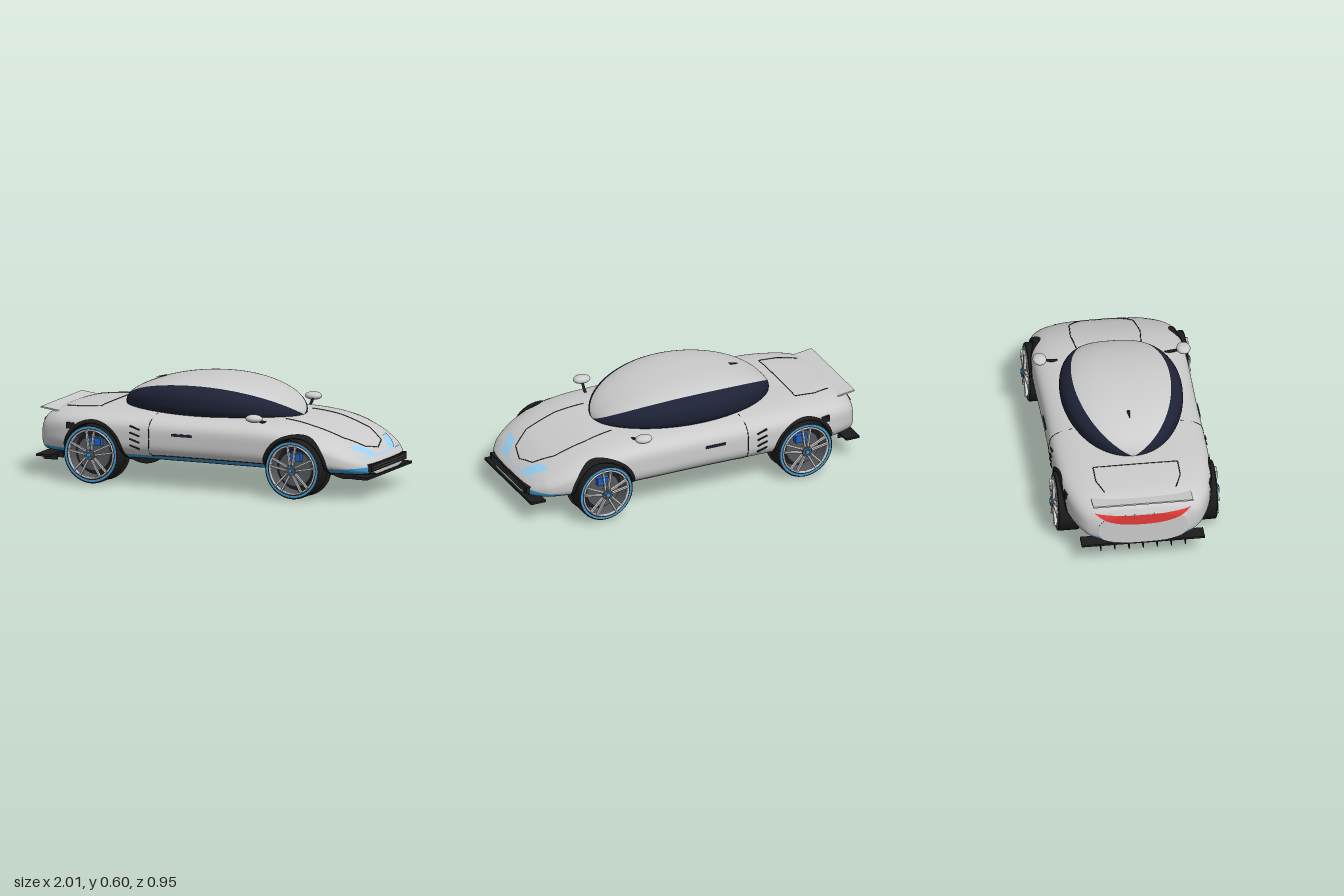
import * as THREE from 'three';

const mat = (color) => new THREE.MeshStandardMaterial({ color, side: THREE.DoubleSide });
const grey = mat(0xcccccc), black = mat(0x1c1c1c), glass = mat(0x1e2236), blue = mat(0x3f9bd3);
const lamp = mat(0x9bd2f5), red = mat(0xe23a36), steel = mat(0x55585c), deepBlue = mat(0x1f5fc0);

// Smooth interpolation through [x, value] stations
function along(table) {
  const slope = (i) => {
    const a = table[Math.max(i - 1, 0)], b = table[Math.min(i + 1, table.length - 1)];
    return (b[1] - a[1]) / (b[0] - a[0]);
  };
  return (x) => {
    let i = 0;
    while (i < table.length - 2 && x > table[i + 1][0]) i++;
    const [x0, a] = table[i], [x1, b] = table[i + 1], h = x1 - x0;
    const t = THREE.MathUtils.clamp((x - x0) / h, 0, 1), t2 = t * t, t3 = t2 * t;
    return (2 * t3 - 3 * t2 + 1) * a + (t3 - 2 * t2 + t) * h * slope(i) + (3 * t2 - 2 * t3) * b + (t3 - t2) * h * slope(i + 1);
  };
}
const FLOOR = 0.12, TAIL = -1, NOSE = 0.99;
const widthAt = along([[-1, 0.25], [-0.97, 0.315], [-0.9, 0.365], [-0.8, 0.4], [-0.6, 0.43], [0, 0.43], [0.5, 0.43],
  [0.7, 0.415], [0.8, 0.395], [0.9, 0.345], [0.95, 0.29], [0.98, 0.235], [0.99, 0.19]]);
const topAt = along([[-1, 0.31], [-0.98, 0.345], [-0.93, 0.372], [-0.85, 0.39], [-0.6, 0.405], [0, 0.41], [0.4, 0.405],
  [0.6, 0.382], [0.8, 0.32], [0.9, 0.268], [0.95, 0.23], [0.98, 0.2], [0.99, 0.185]]);
const roundAt = along([[-1, 3], [-0.7, 4], [0, 4], [0.65, 4.2], [0.85, 3], [0.99, 2.6]]);
const midAt = (x) => (topAt(x) + FLOOR) / 2;

// Half width of the body at a height, and height of the body at a side offset
function halfWidth(x, y) {
  const m = midAt(x), s = Math.min(Math.abs(y - m) / (m - FLOOR), 1), n = y > m ? roundAt(x) : 3;
  return widthAt(x) * Math.pow(1 - Math.pow(s, n), 1 / n);
}
function heightAt(x, z) {
  const n = roundAt(x), m = midAt(x);
  return m + (topAt(x) - m) * Math.pow(Math.max(0, 1 - Math.pow(Math.abs(z) / widthAt(x), n)), 1 / n);
}
// Where the nose (s = 1) or tail (s = -1) surface lies for a given height and side offset
function endX(y, z, s) {
  let a = 0.5 * s, b = s > 0 ? NOSE : TAIL;
  for (let i = 0; i < 24; i++) {
    const c = (a + b) / 2;
    if (y < topAt(c) && halfWidth(c, y) > Math.abs(z)) a = c; else b = c;
  }
  return a;
}

// Smooth surface from f(u, v), optionally dropping cells
function patch(f, nu, nv, keep = () => true) {
  const pos = [], index = [];
  for (let i = 0; i <= nu; i++) for (let j = 0; j <= nv; j++) pos.push(...f(i / nu, j / nv));
  const at = (k, c) => pos[k * 3 + c];
  for (let i = 0; i < nu; i++) for (let j = 0; j < nv; j++) {
    const a = i * (nv + 1) + j, b = a + nv + 1;
    for (const t of [[a, a + 1, b], [a + 1, b + 1, b]]) {
      const c = [0, 1, 2].map((k) => (at(t[0], k) + at(t[1], k) + at(t[2], k)) / 3);
      if (keep(...c)) index.push(...t);
    }
  }
  const g = new THREE.BufferGeometry();
  g.setAttribute('position', new THREE.Float32BufferAttribute(pos, 3));
  g.setIndex(index);
  g.computeVertexNormals();
  return g;
}
function add(parent, name, geometry, material, x = 0, y = 0, z = 0) {
  const m = new THREE.Mesh(geometry, material);
  m.name = name;
  m.position.set(x, y, z);
  parent.add(m);
  return m;
}
const box = (x, y, z) => new THREE.BoxGeometry(x, y, z);

// Thin panel gap through straight-line control points, mapped onto the body
function seam(parent, name, points, map) {
  const pts = [];
  for (let i = 0; i < points.length - 1; i++) for (let k = 0; k < 8; k++) {
    const t = k / 8;
    pts.push(points[i].map((p, c) => p + (points[i + 1][c] - p) * t));
  }
  pts.push(points[points.length - 1]);
  const curve = new THREE.CatmullRomCurve3(pts.map((p) => new THREE.Vector3(...map(...p))));
  add(parent, name, new THREE.TubeGeometry(curve, pts.length * 2, 0.0025, 5), black);
}
const onTop = (x, z) => [x, heightAt(x, z) + 0.0005, z];
const onSide = (x, y) => [x, y, halfWidth(x, y)];

const WHEELS = [-0.62, 0.605], HUB = 0.165, ARCH = 0.192;

function wheel(cx) {
  const g = new THREE.Group();
  g.name = 'wheel';
  g.position.set(cx, HUB, 0.385);
  const turned = (pts) => new THREE.LatheGeometry(pts.map((p) => new THREE.Vector2(...p)), 48).rotateX(Math.PI / 2);
  add(g, 'tyre', turned([[0.135, -0.06], [0.16, -0.06], [0.165, -0.055], [0.165, 0.055], [0.16, 0.06], [0.135, 0.06]]), black);
  add(g, 'rimBarrel', turned([[0.136, -0.06], [0.125, -0.04], [0.125, 0.045], [0.136, 0.06]]), steel);
  add(g, 'tyreStripe', new THREE.RingGeometry(0.145, 0.156, 48), blue, 0, 0, 0.062);
  add(g, 'rimLip', new THREE.TorusGeometry(0.135, 0.006, 6, 48), grey, 0, 0, 0.06);
  add(g, 'wheelBack', new THREE.CircleGeometry(0.135, 40), black, 0, 0, -0.02);
  add(g, 'brakeDisc', new THREE.CylinderGeometry(0.1, 0.1, 0.015, 40).rotateX(Math.PI / 2), steel, 0, 0, 0.01);
  add(g, 'brakeCaliper', box(0.07, 0.045, 0.03), deepBlue, cx < 0 ? 0.02 : 0.01, 0.07, 0.035);
  // Five pairs of spokes
  for (let i = 0; i < 5; i++) {
    const arm = new THREE.Group();
    arm.rotation.z = i * Math.PI * 0.4;
    g.add(arm);
    for (const s of [-1, 1]) {
      add(arm, 'spoke', box(0.01, 0.115, 0.016), grey, s * 0.016, 0.078, 0.068).rotation.z = -s * 0.13;
      add(arm, 'innerSpoke', box(0.008, 0.11, 0.01), grey, s * 0.016, 0.078, -0.07);
    }
    add(arm, 'wheelBolt', new THREE.CylinderGeometry(0.005, 0.005, 0.03, 8).rotateX(Math.PI / 2), blue, 0, 0.02, 0.073);
  }
  add(g, 'hub', new THREE.CylinderGeometry(0.03, 0.034, 0.03, 24).rotateX(Math.PI / 2), steel, 0, 0, 0.066);
  add(g, 'hubCap', new THREE.CylinderGeometry(0.012, 0.012, 0.02, 16).rotateX(Math.PI / 2), blue, 0, 0, 0.08);
  return g;
}

// Everything that exists once per side
function sideParts(inArch, bodyX) {
  const g = new THREE.Group();
  g.name = 'sideParts';
  add(g, 'sill', patch((u, v) => onSide(bodyX(u), 0.175 - 0.035 * v), 240, 6, inArch), blue);
  for (const cx of WHEELS) {
    g.add(wheel(cx));
    add(g, 'archTrim', patch((u, v) => {
      const a = -0.2 + u * (Math.PI + 0.4), k = Math.min(v * 2, 1), r = ARCH - 0.022 * k;
      const x = cx + r * Math.cos(a), y = HUB + r * Math.sin(a);
      const z = Math.max(halfWidth(x, y), 0.3) + 0.004;
      return [x, y, v > 0.5 ? z + (0.28 - z) * (v * 2 - 1) : z];
    }, 64, 8), black);
    add(g, 'archWall', new THREE.CircleGeometry(0.17, 40), black, cx, HUB, 0.285);
  }
  // Door gap, handle, side vents
  seam(g, 'doorGap', [[-0.275, 0.4], [-0.275, 0.18], [0.42, 0.18]], onSide);
  add(g, 'doorHandle', box(0.12, 0.014, 0.012), glass, -0.075, 0.306, halfWidth(0, 0.306));
  for (let i = 0; i < 4; i++) {
    const y = 0.33 - i * 0.036;
    add(g, 'sideVent', box(0.062, 0.008, 0.012), black, -0.36, y, halfWidth(-0.36, y)).rotation.z = -0.3;
  }
  add(g, 'rearVent', box(0.05, 0.035, 0.02), black, -0.76, 0.31, halfWidth(-0.76, 0.31) - 0.006);
  // Mirror on a stalk
  add(g, 'mirror', new THREE.SphereGeometry(1, 20, 14).scale(0.05, 0.023, 0.039), grey, 0.355, 0.43, 0.403);
  const stalk = new THREE.LineCurve3(new THREE.Vector3(0.38, 0.392, 0.3), new THREE.Vector3(0.36, 0.42, 0.39));
  add(g, 'mirrorStalk', new THREE.TubeGeometry(stalk, 1, 0.008, 8), black);
  // Headlight
  const upper = along([[0, 0.282], [0.6, 0.278], [0.8, 0.258], [1, 0.233]]);
  const lower = along([[0, 0.278], [0.35, 0.245], [0.65, 0.223], [1, 0.223]]);
  add(g, 'headlight', patch((u, v) => {
    const z = 0.255 - 0.16 * u, y = upper(u) + (lower(u) - upper(u)) * v;
    return [endX(y, z, 1) + 0.005, y, z];
  }, 20, 6), lamp);
  return g;
}

export function createModel() {
  const car = new THREE.Group();
  car.name = 'sportsCar';
  const bodyX = (u) => (TAIL + NOSE) / 2 - ((NOSE - TAIL) / 2) * Math.cos(Math.PI * u);
  const inArch = (x, y, z) => Math.abs(z) < 0.285 || WHEELS.every((cx) => Math.hypot(x - cx, y - HUB) > 0.181);

  // Body shell, underside and end caps
  add(car, 'bodyShell', patch((u, v) => {
    const x = bodyX(u), w = v * 2 - 1;
    const y = 0.175 + (topAt(x) - 0.175) * Math.sin((1 - Math.abs(w)) * Math.PI / 2);
    return [x, y, Math.sign(w) * halfWidth(x, y)];
  }, 240, 72, inArch), grey);
  add(car, 'underside', patch((u, v) => {
    const x = bodyX(u), w = v * 2 - 1, y = FLOOR + 0.02 * Math.pow(Math.abs(w), 3);
    return [x, y, -Math.sign(w) * halfWidth(x, y)];
  }, 240, 24, inArch), black);
  for (const [x, s, name] of [[TAIL, -1, 'tailPanel'], [NOSE, 1, 'nosePanel']]) {
    add(car, name, patch((u, v) => {
      const y = FLOOR + (topAt(x) - FLOOR) * (1 - Math.cos(Math.PI * v)) / 2;
      return [x, y, s * (2 * u - 1) * halfWidth(x, y)];
    }, 4, 24), grey);
  }

  // Cabin: rounded roof and dark side glass
  const cabin = (u, t) => {
    const c = -Math.cos(Math.PI * u), k = Math.sqrt(Math.max(0, 1 - c * c)), h = c > 0 ? Math.pow(k, 1.25) : k;
    const power = (q) => Math.sign(q) * Math.pow(Math.abs(q), 0.727);
    return [-0.05 + 0.53 * c, 0.4 + 0.07 * h + 0.122 * h * power(Math.sin(t)), 0.34 * k * power(Math.cos(t))];
  };
  const split = 0.743;
  add(car, 'roof', patch((u, v) => cabin(u, Math.PI - split - v * (Math.PI - 2 * split)), 80, 40), grey);
  const window = patch((u, v) => cabin(u, split - v * (split + 1)), 80, 24);
  add(car, 'leftWindow', window, glass);
  add(car, 'rightWindow', window, glass).scale.z = -1;
  const fin = add(car, 'roofAntenna', new THREE.ConeGeometry(0.01, 0.06, 10).rotateZ(Math.PI / 2), black, -0.39, 0.55, 0);
  fin.rotation.z = 0.1;

  // Hood and rear lid gaps
  const hood = [[0.45, 0.18], [0.62, 0.195], [0.8, 0.18], [0.9, 0.11], [0.93, 0]];
  seam(car, 'hoodGap', [...hood, ...hood.slice(0, -1).reverse().map(([x, z]) => [x, -z])], onTop);
  const lid = [[-0.87, 0.2], [-0.77, 0.237], [-0.655, 0.237]];
  seam(car, 'rearLidGap', [...lid, ...lid.slice().reverse().map(([x, z]) => [x, -z])], onTop);

  // Both sides
  const left = sideParts(inArch, bodyX), right = left.clone();
  right.scale.z = -1;
  car.add(left, right);

  // Nose: light strip, grille and splitter
  add(car, 'lightStrip', patch((u, v) => {
    const z = 0.24 * (2 * u - 1), y = 0.219 + 0.005 * v;
    return [endX(y, z, 1) + 0.004, y, z];
  }, 32, 1), lamp);
  add(car, 'grille', box(0.06, 0.042, 0.475), black, 0.966, 0.168, 0);
  for (const y of [0.16, 0.175]) add(car, 'grilleBar', box(0.004, 0.004, 0.42), steel, 0.997, y, 0);
  add(car, 'frontSplitter', box(0.09, 0.014, 0.61), black, 0.955, 0.119, 0);

  // Tail: light band, spoiler and diffuser with fins
  add(car, 'tailLight', patch((u, v) => {
    const w = 2 * u - 1, z = 0.27 * w, y = 0.322 - 0.015 * (1 - w * w) - v * 0.062 * (1 - Math.pow(Math.abs(w), 3));
    return [endX(y, z, -1) - 0.005, y, z];
  }, 32, 6), red);
  add(car, 'spoiler', box(0.135, 0.008, 0.56), grey, -0.932, 0.369, 0).rotation.z = -0.13;
  add(car, 'diffuser', box(0.085, 0.012, 0.69), black, -0.957, 0.118, 0);
  for (let i = -3; i <= 3; i++) add(car, 'diffuserFin', box(0.085, 0.04, 0.006), black, -0.957, 0.099, i * 0.079);
  return car;
}
